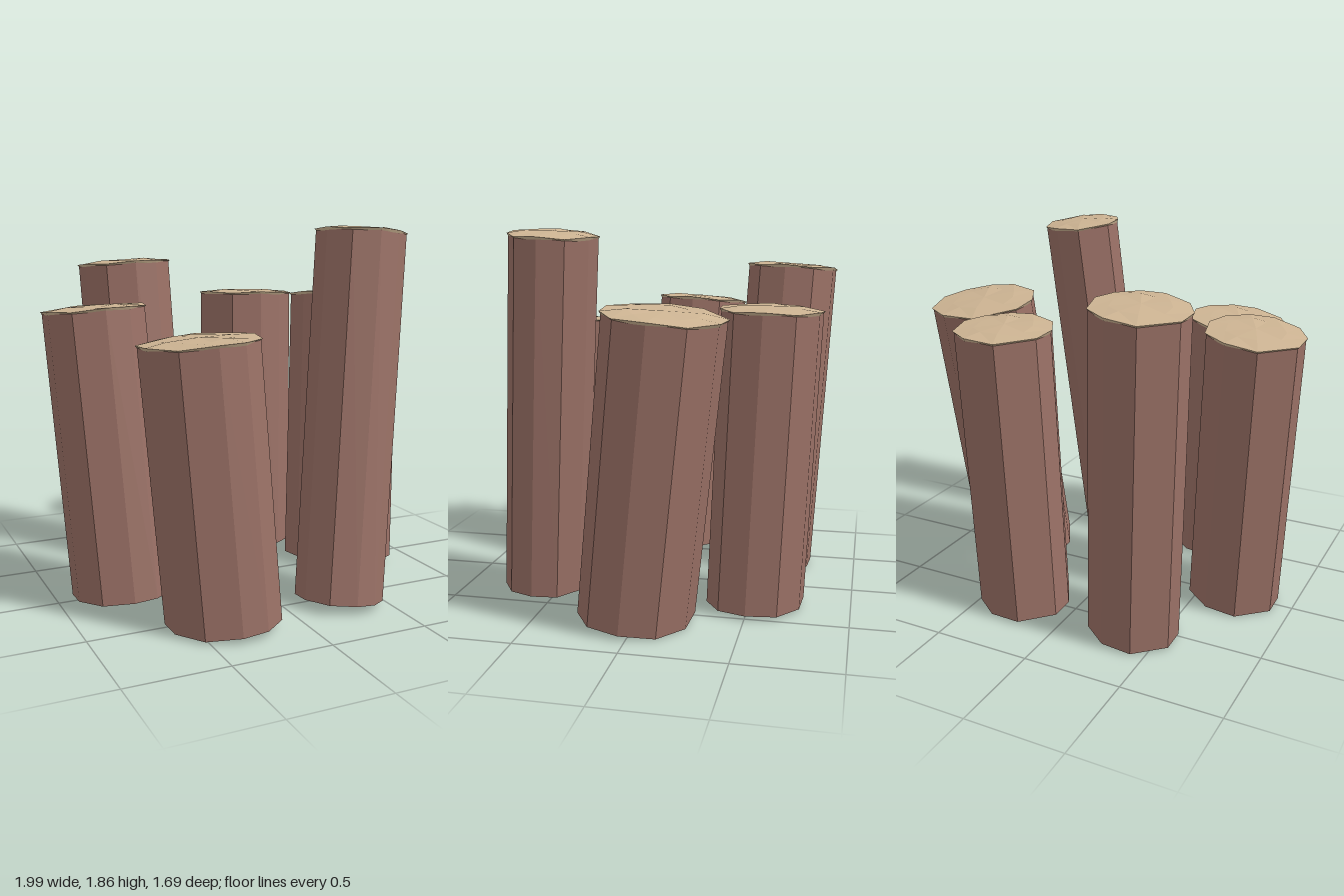
import * as THREE from 'three';

// Irregular ten-sided outline shared by every log: angle in degrees (+x towards +z) and relative radius
const OUTLINE = [
  [5, 0.97], [37, 1.07], [65, 1.04], [93, 0.96], [133, 0.96],
  [174, 0.99], [204, 1.07], [249, 1.05], [287, 0.98], [327, 0.98],
];

// Lathe a profile of [radius, height] points, then bend it to the outline with hewn facets
function hewn(profile, wobble = 0) {
  const sides = OUTLINE.length;
  const geo = new THREE.LatheGeometry(profile.map(([r, y]) => new THREE.Vector2(r, y)), sides);
  const pos = geo.attributes.position;
  for (let i = 0; i <= sides; i++) {
    const k = (sides - i) % sides;
    const angle = THREE.MathUtils.degToRad(OUTLINE[k][0]);
    profile.forEach(([r, y], j) => {
      const radius = r * OUTLINE[k][1];
      const lift = r > 0 ? wobble * Math.sin(k * 2.3 + j * 1.7) : 0;
      pos.setXYZ(i * profile.length + j, radius * Math.cos(angle), y + lift, radius * Math.sin(angle));
    });
  }
  const flat = geo.toNonIndexed();
  flat.computeVertexNormals();
  return flat;
}

// One leaning log between the centres of its two ends
function makeLog(name, bottom, top, r, mats) {
  const log = new THREE.Group();
  log.name = name;
  const from = new THREE.Vector3(...bottom);
  const axis = new THREE.Vector3(...top).sub(from);
  const h = axis.length();
  const add = (part, geometry, material) => {
    const mesh = new THREE.Mesh(geometry, material);
    mesh.name = part;
    log.add(mesh);
  };
  // bark wall
  add('bark', hewn([[r * 0.97, 0], [r * 0.97, h - 0.005]]), mats.bark);
  // pale cut top with a slightly overhanging rim
  add('cutTop', hewn([[r * 0.95, h - 0.018], [r, h], [r * 0.6, h + 0.012], [0, h + 0.016]], 0.005), mats.wood);
  // dark underside
  add('underside', hewn([[0, -0.01], [r * 0.6, -0.008], [r * 0.975, 0.002]], 0.003), mats.under);
  log.position.copy(from);
  log.quaternion.setFromUnitVectors(new THREE.Vector3(0, 1, 0), axis.normalize());
  return log;
}

export function createModel() {
  const material = (name, color) => {
    const m = new THREE.MeshStandardMaterial({ color });
    m.name = name;
    return m;
  };
  const mats = {
    bark: material('bark brown', 0x9c7267),
    wood: material('cut wood tan', 0xccb392),
    under: material('underside brown', 0x7d6661),
  };

  const group = new THREE.Group();
  group.name = 'logRing';
  // name, bottom centre, top centre, radius
  const logs = [
    ['backLeftLog', [-0.345, 0.03, -0.525], [-0.415, 1.67, -0.62], 0.243],
    ['backRightLog', [0.28, 0.03, -0.525], [0.31, 1.49, -0.59], 0.25],
    ['sideLeftLog', [-0.67, 0.03, 0.025], [-0.755, 1.47, -0.07], 0.25],
    ['sideRightLog', [0.605, 0.045, 0.01], [0.715, 1.49, -0.155], 0.285],
    ['frontLeftLog', [-0.35, 0.03, 0.575], [-0.455, 1.36, 0.55], 0.272],
    ['frontRightLog', [0.28, 0.04, 0.575], [0.445, 1.84, 0.445], 0.212],
  ];
  for (const [name, bottom, top, r] of logs) group.add(makeLog(name, bottom, top, r, mats));
  return group;
}
